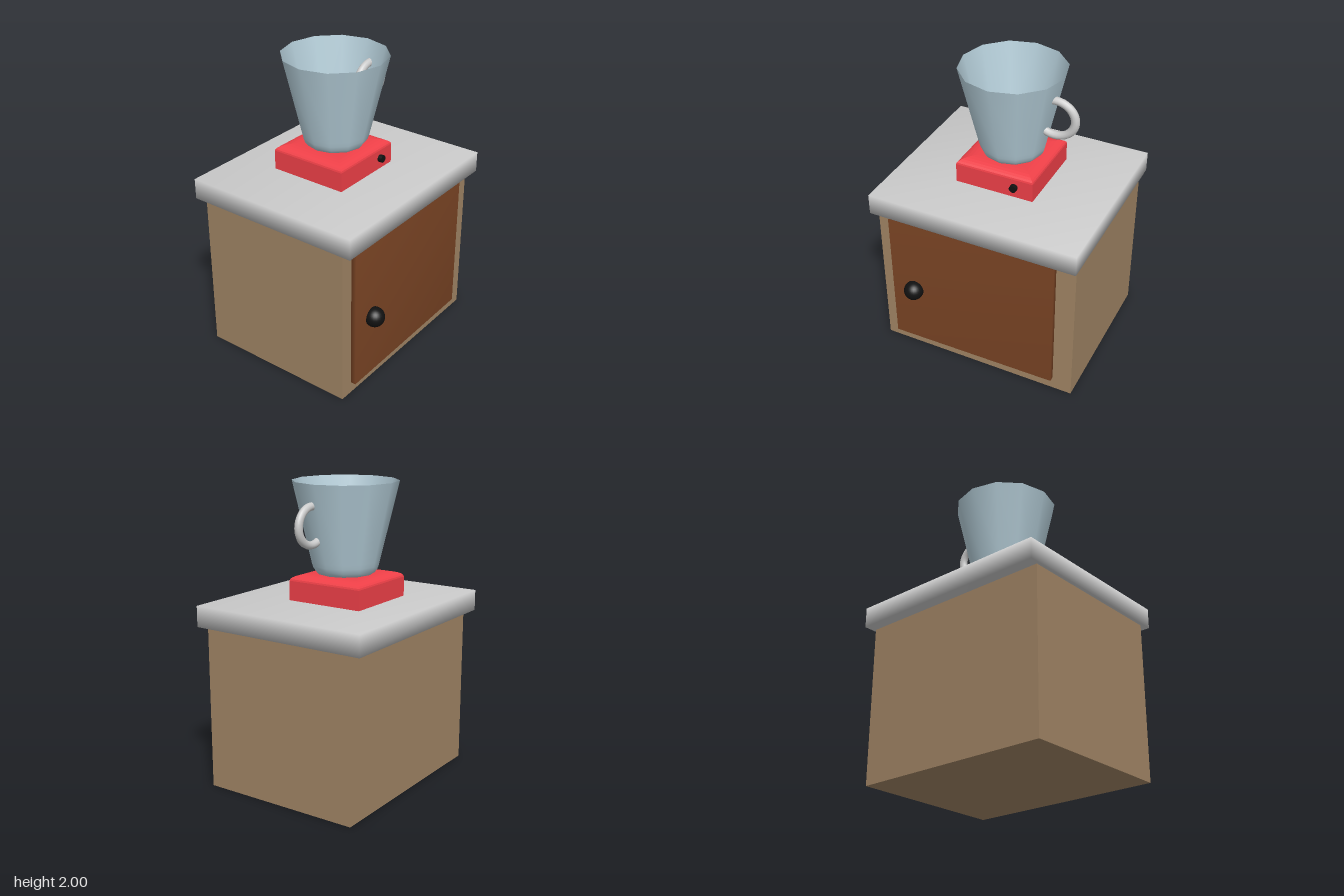
import * as THREE from 'three';
import { mergeVertices } from 'three/addons/utils/BufferGeometryUtils.js';

const mat = (color, side = THREE.FrontSide) => new THREE.MeshStandardMaterial({ color, side });

// Box given by its min and max corners
function boxBetween(min, max) {
  const size = max.map((v, i) => v - min[i]);
  const g = new THREE.BoxGeometry(...size);
  return g.translate(...min.map((v, i) => v + size[i] / 2));
}

// Shares corners so that the shading runs smoothly across the edges
function softened(geometry) {
  geometry.deleteAttribute('uv');
  geometry.deleteAttribute('normal');
  const g = mergeVertices(geometry);
  g.computeVertexNormals();
  return g;
}

export function createModel() {
  const model = new THREE.Group();
  model.name = 'cabinetWithBlender';
  const add = (name, geometry, material, x = 0, y = 0, z = 0) => {
    const mesh = new THREE.Mesh(geometry, material);
    mesh.name = name;
    mesh.position.set(x, y, z);
    model.add(mesh);
    return mesh;
  };
  const grey = mat(0xcccccc);
  const black = mat(0x111111);

  // Cabinet body and worktop
  add('cabinet', boxBetween([-0.7, 0, -0.573], [0.695, 1.085, 0.527]), mat(0xa08464));
  add('worktop', softened(boxBetween([-0.72, 1.085, -0.648], [0.717, 1.225, 0.598])), grey);

  // Door, hanging very slightly askew, with its round knob
  const door = boxBetween([-0.61, 0.08, 0.52], [0.562, 1.047, 0.563]);
  const p = door.attributes.position;
  for (let i = 0; i < p.count; i++) {
    if (p.getX(i) > 0 && p.getY(i) < 0.5) p.setY(i, 0.093);
  }
  add('door', softened(door), mat(0x7a4424));
  add('doorKnob', new THREE.SphereGeometry(0.066, 24, 16), black, -0.44, 0.522, 0.585);

  // Square blender base with a rounded top edge
  const half = 0.271, inset = 0.1, shoulder = 1.355, rise = 0.042;
  const baseProfile = [[0, 1.225], [half, 1.225]];
  for (let i = 0; i <= 6; i++) {
    const a = (i / 6) * Math.PI / 2;
    baseProfile.push([half - inset * (1 - Math.cos(a)), shoulder + rise * Math.sin(a)]);
  }
  baseProfile.push([0, shoulder + rise]);
  const base = new THREE.LatheGeometry(
    baseProfile.map(([r, y]) => new THREE.Vector2(r * Math.SQRT2, y)), 4, Math.PI / 4).toNonIndexed();
  base.computeVertexNormals();
  add('blenderBase', base, mat(0xf04048), -0.02, 0, -0.063);

  // Switch button on the front of the base
  add('switchButton', new THREE.CylinderGeometry(0.025, 0.025, 0.05, 20).rotateX(Math.PI / 2),
    black, 0.123, 1.3, 0.211);

  // Twelve-sided open jug
  const jugProfile = [[0.167, 1.393], [0.192, 1.402], [0.21, 1.425], [0.22, 1.455], [0.227, 1.485], [0.348, 2]];
  add('jug', new THREE.LatheGeometry(jugProfile.map(([r, y]) => new THREE.Vector2(r, y)), 12),
    mat(0xb4cdd8, THREE.DoubleSide), -0.01, 0, -0.054);

  // Ring handle passing through the jug wall
  const handle = add('jugHandle', new THREE.TorusGeometry(0.122, 0.026, 12, 36), grey, 0.298, 1.738, -0.008);
  handle.scale.x = 1.11;

  return model;
}
